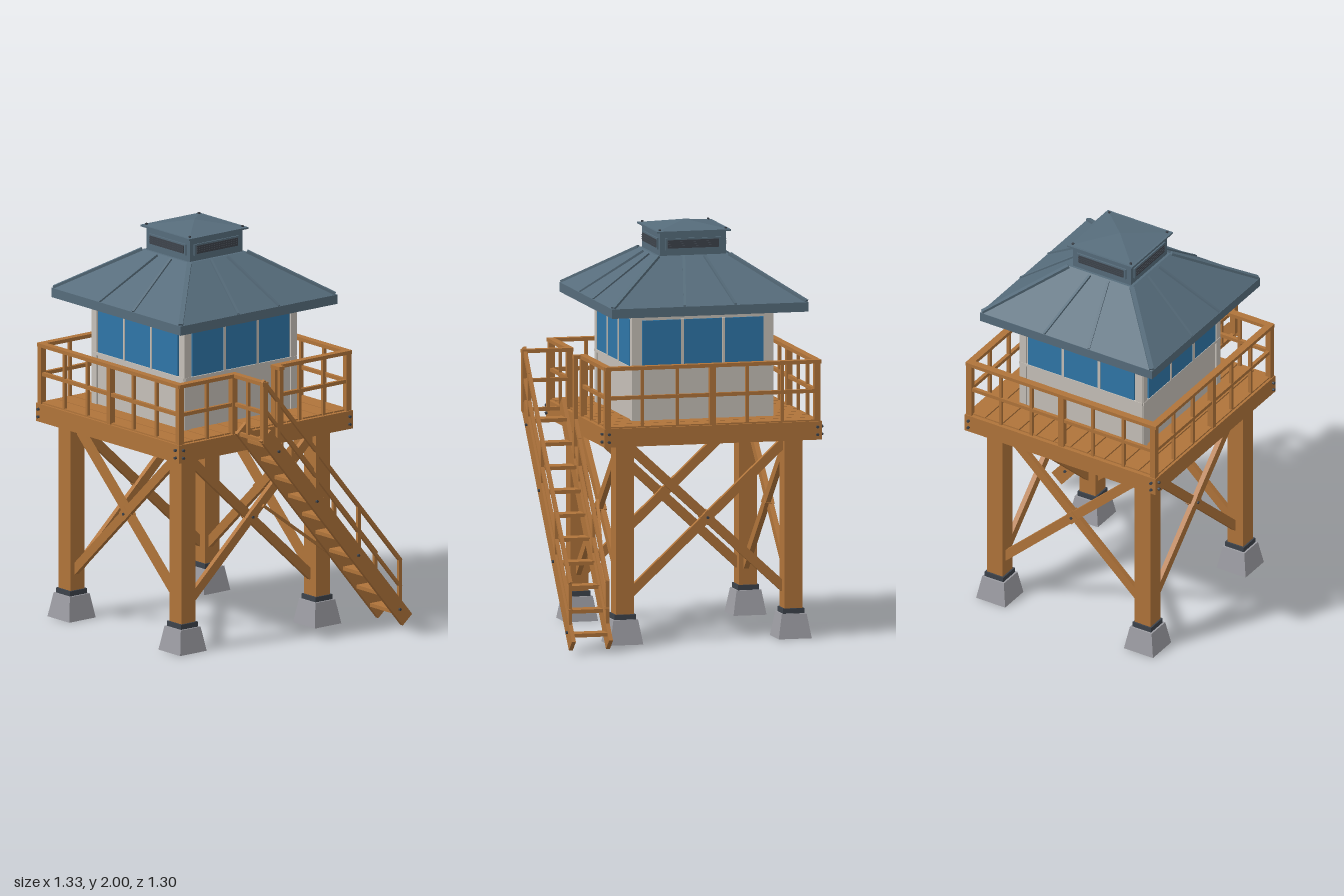
import * as THREE from 'three';

function mat(name, color) {
  const m = new THREE.MeshStandardMaterial({ color });
  m.name = name;
  return m;
}

export function createModel() {
  const wood = mat('wood', 0xb0743a);
  const slate = mat('roof slate blue', 0x566c7b);
  const wall = mat('wall off-white', 0xc6c0b8);
  const glass = mat('window blue', 0x2f76a8);
  const concrete = mat('concrete grey', 0x9c9ca2);
  const steel = mat('dark steel', 0x3d434b);

  const model = new THREE.Group();
  const group = (name, parent = model) => {
    const g = new THREE.Group();
    g.name = name;
    parent.add(g);
    return g;
  };
  // Box given by centre and size
  const box = (parent, name, m, x, y, z, w, h, d) => {
    const b = new THREE.Mesh(new THREE.BoxGeometry(w, h, d), m);
    b.name = name;
    b.position.set(x, y, z);
    parent.add(b);
    return b;
  };
  // Box stretched between two points: w across, h upward
  const beam = (parent, name, m, a, b, w, h) => {
    const p = new THREE.Vector3(...a), q = new THREE.Vector3(...b);
    const s = new THREE.Mesh(new THREE.BoxGeometry(w, h, p.distanceTo(q)), m);
    s.name = name;
    s.position.copy(p).add(q).multiplyScalar(0.5);
    s.lookAt(q);
    parent.add(s);
    return s;
  };
  // Square frustum given by half widths
  const frustum = (parent, name, m, x, z, y0, y1, bottom, top) => {
    const k = Math.SQRT2;
    let g = new THREE.CylinderGeometry(top * k, bottom * k, y1 - y0, 4).rotateY(Math.PI / 4).toNonIndexed();
    g.computeVertexNormals();
    const f = new THREE.Mesh(g, m);
    f.name = name;
    f.position.set(x, (y0 + y1) / 2, z);
    parent.add(f);
    return f;
  };
  // Short bolt head facing +z
  const bolt = (parent, x, y, z) => {
    const b = new THREE.Mesh(new THREE.CylinderGeometry(0.007, 0.007, 0.016, 8).rotateX(Math.PI / 2), steel);
    b.name = 'bolt';
    b.position.set(x, y, z);
    parent.add(b);
    return b;
  };

  const tower = group('tower');
  tower.position.set(-0.105, 0, 0.09);

  // Legs on concrete footings
  for (const sx of [-1, 1]) for (const sz of [-1, 1]) {
    const x = sx * 0.422, z = sz * 0.422;
    frustum(tower, 'footing', concrete, x, z, 0, 0.12, 0.083, 0.062);
    box(tower, 'legCollar', steel, x, 0.132, z, 0.106, 0.026, 0.106);
    box(tower, 'leg', wood, x, 0.555, z, 0.09, 0.85, 0.09);
  }

  // Everything that repeats on the four sides, built facing +z and turned
  const thin = [-0.35, -0.175, 0.175, 0.35];
  for (let i = 0; i < 4; i++) {
    const side = group(['frontSide', 'leftSide', 'backSide', 'rightSide'][i], tower);
    side.rotation.y = i * Math.PI / 2;

    // Cross bracing
    for (const s of [-1, 1])
      beam(side, 'crossBrace', wood, [-s * 0.39, 0.24, 0.42 + s * 0.008], [s * 0.39, 0.96, 0.42 + s * 0.008], 0.025, 0.045);
    box(side, 'bracePlate', wood, 0, 0.6, 0.42, 0.052, 0.052, 0.048).rotation.z = Math.PI / 4;
    bolt(side, 0, 0.6, 0.442);

    // Rim beam with corner bolts
    box(side, 'rimBeam', wood, 0, 1.02, 0.527, i % 2 ? 1.018 : 1.09, 0.09, 0.036);
    for (const s of [-1, 1]) for (const y of [1.0, 1.038]) bolt(side, s * 0.522, y, 0.548);

    // Railing: the left side is split by the stair opening
    const runs = i === 1 ? [[-0.54, -0.175], [0.06, 0.54]] : [[-0.54, 0.54]];
    for (const [a, b] of runs) {
      box(side, 'topRail', wood, (a + b) / 2, 1.356, 0.525, b - a, 0.018, 0.036);
      box(side, 'midRail', wood, (a + b) / 2, 1.212, 0.525, b - a, 0.018, 0.018);
    }
    const posts = i === 1 ? [0.525, -0.19, 0.075] : [0.525, 0];
    for (const x of posts) box(side, 'railPost', wood, x, 1.205, 0.525, 0.03, 0.29, 0.03);
    for (const x of i === 1 ? [-0.355, 0.225, 0.375] : thin)
      box(side, 'baluster', wood, x, 1.205, 0.525, 0.015, 0.29, 0.015);

    // Window band, mullions, corner trim and sill
    for (const x of [-0.206, 0, 0.206])
      box(side, 'windowPane', glass, x, 1.447, 0.351, 0.194, 0.226, 0.008);
    for (const x of [-0.103, 0.103])
      box(side, 'mullion', wall, x, 1.447, 0.352, 0.014, 0.232, 0.012);
    for (const s of [-1, 1]) box(side, 'cornerTrim', wall, s * 0.333, 1.335, 0.342, 0.038, 0.53, 0.024);
    box(side, 'sill', wall, 0, 1.325, 0.346, 0.7, 0.014, 0.02);

    // Roof seams and hip ridge
    for (const s of [-1, 1])
      beam(side, 'roofSeam', slate, [s * 0.127, 1.642, 0.488], [s * 0.052, 1.842, 0.19], 0.013, 0.014);
    beam(side, 'hipRidge', slate, [0.484, 1.644, 0.484], [0.18, 1.846, 0.18], 0.022, 0.016);

    // Cupola vent
    box(side, 'ventFrame', slate, 0, 1.902, 0.166, 0.28, 0.056, 0.012);
    box(side, 'ventOpening', steel, 0, 1.902, 0.171, 0.256, 0.04, 0.008);
    for (const y of [1.892, 1.902, 1.912])
      box(side, 'ventSlat', steel, 0, y, 0.175, 0.256, 0.003, 0.006);
  }

  // Deck planks
  for (let i = 0; i < 11; i++)
    box(tower, 'deckPlank', wood, 0, 1.06, (i - 5) * 0.0975, 1.05, 0.024, 0.091);

  // Cabin and roof
  box(tower, 'cabin', wall, 0, 1.335, 0, 0.694, 0.53, 0.694);
  box(tower, 'eave', slate, 0, 1.618, 0, 0.984, 0.046, 0.984);
  frustum(tower, 'mainRoof', slate, 0, 0, 1.641, 1.846, 0.49, 0.178);
  box(tower, 'cupola', slate, 0, 1.9, 0, 0.33, 0.13, 0.33);
  box(tower, 'cupolaEave', slate, 0, 1.963, 0, 0.372, 0.008, 0.372);
  frustum(tower, 'cupolaRoof', slate, 0, 0, 1.965, 2.0, 0.186, 0.001);
  for (const sx of [-1, 1]) for (const sz of [-1, 1])
    box(tower, 'capBolt', steel, sx * 0.165, 1.972, sz * 0.165, 0.01, 0.008, 0.01);

  // Stair along the left side, descending to the back
  const stair = group('stair');
  const slopeY = z => 0.035 + 1.2 * (z + 0.62);
  for (const [x, top] of [[0.459, 0.016], [0.645, 0.28]]) {
    beam(stair, 'stringer', wood, [x, slopeY(-0.62), -0.62], [x, slopeY(0.265), 0.265], 0.02, 0.076);
    for (const [lift, t] of [[0.256, 0.018], [0.125, 0.014]])
      beam(stair, 'handrail', wood, [x, slopeY(-0.583) + lift, -0.583], [x, slopeY(top) + lift, top], 0.018, t);
    for (const z of [-0.577, -0.32, -0.058, 0.185])
      if (z < top) box(stair, 'stairPost', wood, x, slopeY(z) + 0.13, z, 0.016, 0.26, 0.018);
    for (const z of [-0.57, -0.31, -0.05, 0.19]) {
      const b = bolt(stair, x + (x > 0.5 ? 0.011 : -0.011), slopeY(z), z);
      b.rotation.y = Math.PI / 2;
    }
  }
  for (let i = 0; i < 10; i++)
    box(stair, 'tread', wood, 0.552, 0.085 + i * 0.105, -0.579 + i * 0.0855, 0.176, 0.018, 0.081);

  // Rails closing the head of the stair
  box(stair, 'landingTopRail', wood, 0.532, 1.356, 0.272, 0.256, 0.018, 0.034);
  box(stair, 'landingMidRail', wood, 0.532, 1.212, 0.272, 0.24, 0.018, 0.018);
  box(stair, 'landingBaluster', wood, 0.527, 1.21, 0.272, 0.015, 0.3, 0.015);
  box(stair, 'landingPost', wood, 0.645, 1.21, 0.272, 0.028, 0.3, 0.028);
  box(stair, 'landingFootRail', wood, 0.54, 1.07, 0.272, 0.22, 0.018, 0.018);
  box(stair, 'openingTopRail', wood, 0.438, 1.356, 0.015, 0.066, 0.018, 0.032);
  box(stair, 'openingPost', wood, 0.459, 1.11, 0.015, 0.022, 0.5, 0.022);

  // Brace from the tower to the inner stringer
  beam(stair, 'stairBrace', wood, [0.345, 0.65, 0.03], [0.457, 0.19, -0.555], 0.014, 0.014);

  return model;
}
